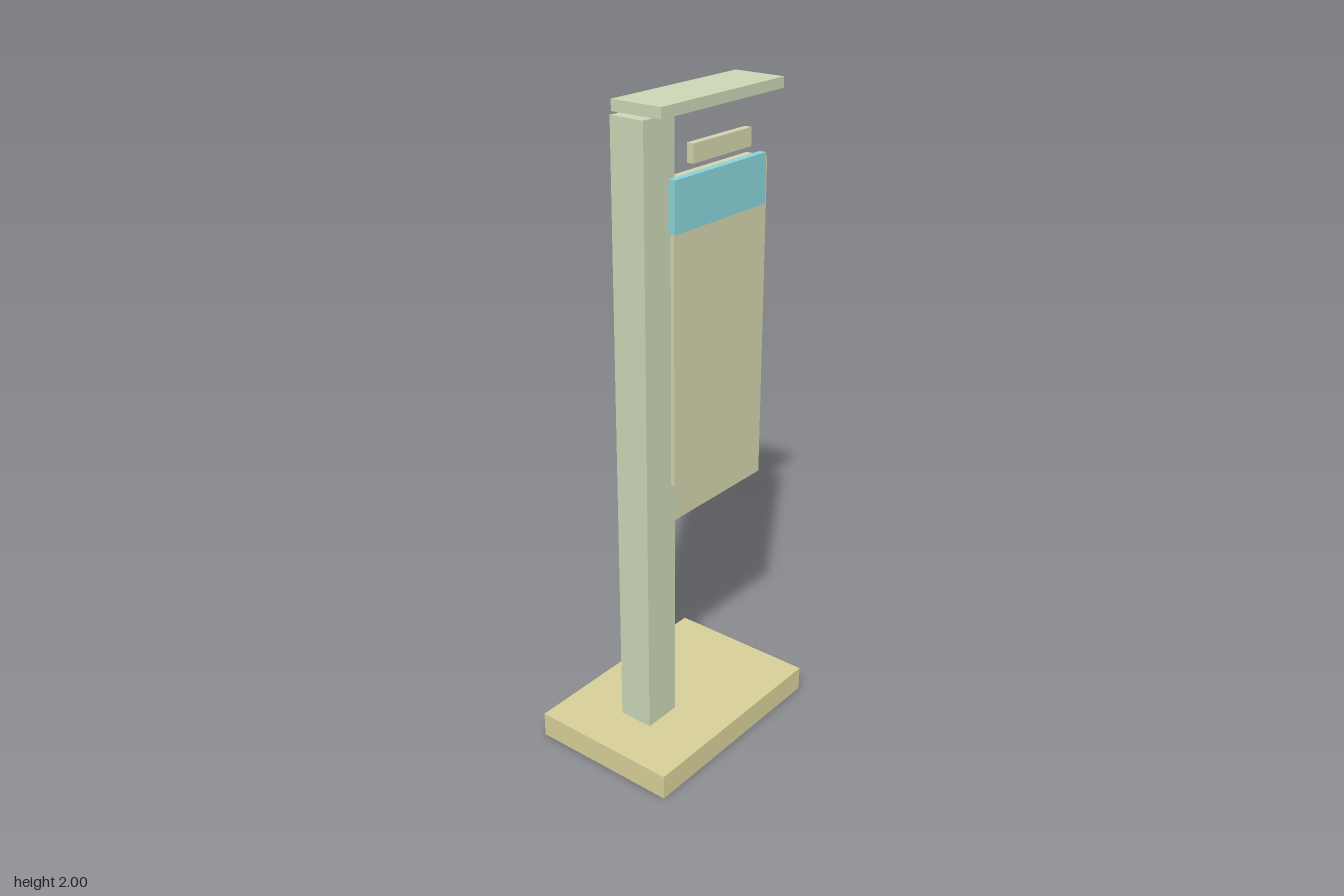
import * as THREE from 'three';

export function createModel() {
  const group = new THREE.Group();
  const mat = (color) => new THREE.MeshStandardMaterial({ color, flatShading: true });
  const sand = mat(0xd6cf98), sage = mat(0xcad6b4), cream = mat(0xd2d2ac), blue = mat(0x88d3d8);

  // Box given by its extents along each axis
  function slab(name, material, [x0, x1], [y0, y1], [z0, z1]) {
    const mesh = new THREE.Mesh(new THREE.BoxGeometry(x1 - x0, y1 - y0, z1 - z0), material);
    mesh.position.set((x0 + x1) / 2, (y0 + y1) / 2, (z0 + z1) / 2);
    mesh.name = name;
    group.add(mesh);
  }

  // Support
  slab('base', sand, [-0.372, 0.342], [0, 0.08], [-0.245, 0.245]);
  slab('post', sage, [-0.212, -0.085], [0.08, 1.968], [-0.057, 0.056]);
  slab('canopy', sage, [-0.175, 0.371], [1.968, 2], [-0.085, 0.085]);

  // Display board and the pieces on its front
  slab('board', cream, [-0.085, 0.34], [0.76, 1.776], [-0.018, 0.056]);
  slab('displayPanel', cream, [-0.102, 0.292], [0.885, 1.647], [0.056, 0.068]);
  slab('headerStrip', blue, [-0.111, 0.302], [1.647, 1.797], [0.056, 0.079]);
  slab('topPlate', cream, [-0.033, 0.228], [1.827, 1.881], [0.056, 0.079]);

  return group;
}
